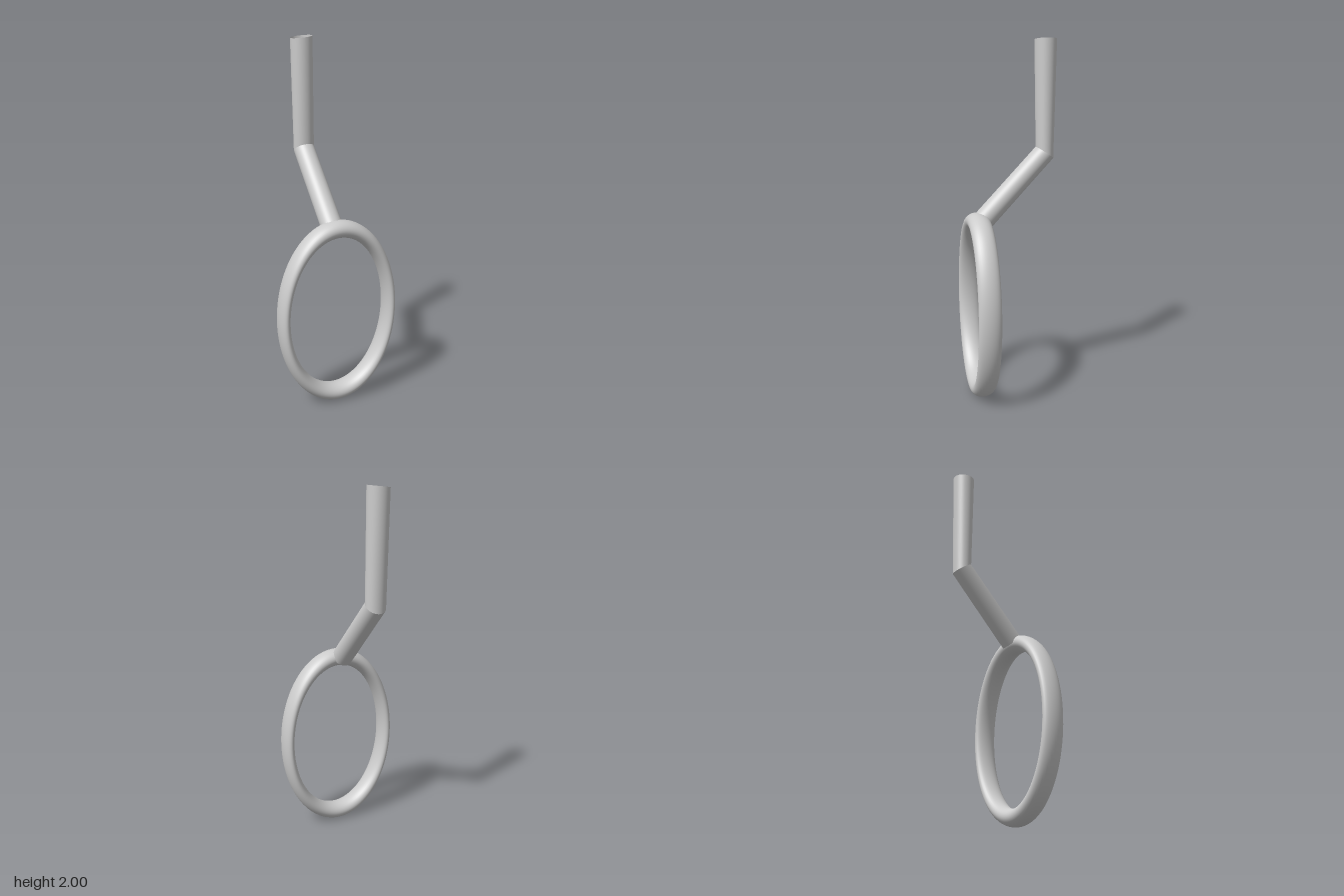
import * as THREE from 'three';

const material = new THREE.MeshStandardMaterial({ color: 0xcccccc, side: THREE.DoubleSide });

// Open straight tube between two tilted circular sections
function tubeBetween(name, lower, upper, sides = 48) {
  const geometry = new THREE.CylinderGeometry(1, 1, 1, sides, 1, true);
  const pos = geometry.attributes.position;
  const p = new THREE.Vector3();
  for (let i = 0; i < pos.count; i++) {
    p.fromBufferAttribute(pos, i);
    const section = p.y > 0 ? upper : lower;
    p.y = 0;
    p.multiplyScalar(section.radius).applyEuler(section.tilt).add(section.center);
    pos.setXYZ(i, p.x, p.y, p.z);
  }
  geometry.computeVertexNormals();
  // Share normals across the lengthwise seam
  const n = geometry.attributes.normal;
  for (const row of [0, sides + 1]) {
    const a = new THREE.Vector3().fromBufferAttribute(n, row);
    const b = new THREE.Vector3().fromBufferAttribute(n, row + sides);
    a.add(b).normalize();
    n.setXYZ(row, a.x, a.y, a.z);
    n.setXYZ(row + sides, a.x, a.y, a.z);
  }
  const mesh = new THREE.Mesh(geometry, material);
  mesh.name = name;
  return mesh;
}

const section = (x, y, z, radius, tiltX, tiltZ = 0) => ({
  center: new THREE.Vector3(x, y, z), radius, tilt: new THREE.Euler(tiltX, 0, tiltZ),
});

export function createModel() {
  const group = new THREE.Group();
  group.name = 'ringOnBentRod';

  // Oval ring: a torus stretched along each axis, turned slightly about y
  const ringGeometry = new THREE.TorusGeometry(1, 0.0985, 32, 96);
  ringGeometry.scale(0.3185, 0.485, 0.635);
  const ring = new THREE.Mesh(ringGeometry, material);
  ring.name = 'ring';
  ring.position.set(0, 0.533, 0.185);
  ring.rotation.y = -0.039;
  group.add(ring);

  // Bent rod: slanted lower arm and upright open shank sharing the bend section
  const foot = section(-0.017, 1.025, 0.146, 0.059, Math.PI / 4);
  const bend = section(-0.018, 1.384, -0.198, 0.058, 0.59);
  const top = section(-0.027, 1.993, -0.202, 0.061, 0, 0.11);
  // Sections tilt so their front edge rises with the bend
  for (const s of [foot, bend]) s.tilt.x *= -1;
  group.add(tubeBetween('slantedArm', foot, bend));
  group.add(tubeBetween('uprightShank', bend, top));

  return group;
}
